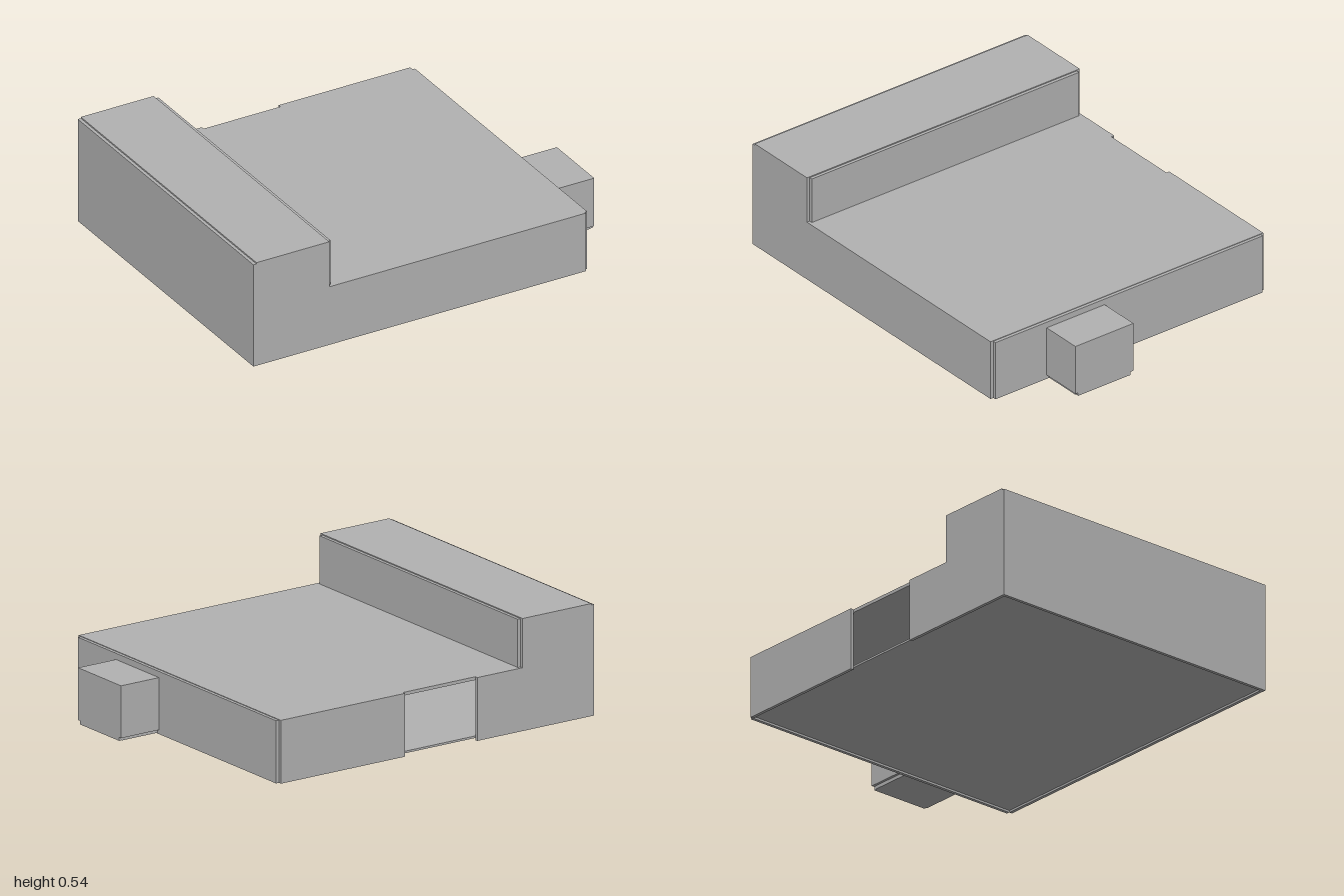
import * as THREE from 'three';

export function createModel() {
  const model = new THREE.Group();
  const grey = new THREE.MeshStandardMaterial({ color: 0xb2b2b2 });
  grey.name = 'plain grey';

  // Box given by its extents along each axis
  const box = (name, x0, x1, y0, y1, z0, z1, parent = model) => {
    const mesh = new THREE.Mesh(new THREE.BoxGeometry(x1 - x0, y1 - y0, z1 - z0), grey);
    mesh.position.set((x0 + x1) / 2, (y0 + y1) / 2, (z0 + z1) / 2);
    mesh.name = name;
    parent.add(mesh);
    return mesh;
  };

  const T = 0.016; // wall thickness
  const L = -1, R = 0.786, STEP = -0.58, LOW = 0.305, HIGH = 0.542, Z = 0.795;

  // Stepped wall outline, extruded to a thin panel; the doorway is cut full height
  const panel = (name, points, z0) => {
    const shape = new THREE.Shape(points.map(([x, y]) => new THREE.Vector2(x, y)));
    const geometry = new THREE.ExtrudeGeometry(shape, { depth: T, bevelEnabled: false });
    const mesh = new THREE.Mesh(geometry, grey);
    mesh.name = name;
    mesh.position.z = z0;
    model.add(mesh);
  };
  const stepped = (right) => [[L, 0], [right, 0], [right, LOW], [STEP - T, LOW],
    [STEP - T, HIGH], [L + T, HIGH], [L + T, HIGH - 0.007], [L, HIGH - 0.007]];
  panel('frontWall', stepped(R - T), Z - T);
  panel('backWallTallPart', stepped(-0.34), -Z);
  box('backWallLowPart', 0.07, R - T, 0, LOW, -Z, -Z + T);

  // Side walls and the riser between both roof levels
  const zi = Z - T;
  box('rightSideWall', L, L + T, 0, HIGH - 0.007, -zi, zi);
  box('leftSideWall', R - T, R, 0, LOW - 0.003, -zi, zi);
  box('roofRiser', STEP - T, STEP, LOW - T, HIGH - 0.005, -zi, zi);

  // Roofs and the slightly raised floor
  box('highRoof', L + T, STEP - T, HIGH - T, HIGH, -zi, zi);
  box('lowRoof', STEP - T, R - T, LOW - T, LOW, -zi, zi);
  box('floor', L + T, R - T, 0.01, 0.02, -zi, zi);

  // Small porch on the side
  const porch = new THREE.Group();
  porch.name = 'porch';
  model.add(porch);
  box('porchFloor', R, 1 - T, 0.003, 0.02, 0.155, 0.468, porch);
  box('porchBackWall', R, 1, 0.02, 0.272, 0.142, 0.142 + T, porch);
  box('porchFrontWall', R, 1, 0.02, 0.272, 0.48 - T, 0.48, porch);
  box('porchEndWall', 1 - T, 1, 0.003, 0.272, 0.142 + T, 0.48 - T, porch);
  box('porchRoof', R, 1 - T, 0.272 - T, 0.272, 0.142 + T, 0.48 - T, porch);

  // Furniture just inside the doorway
  box('lowCabinet', 0.23, 0.5, 0.02, 0.1, -0.44, -0.285);
  const chair = new THREE.Group();
  chair.name = 'chair';
  chair.position.set(-0.1, 0.02, -0.44);
  model.add(chair);
  for (const x of [-0.03, 0.03])
    for (const z of [-0.03, 0.03]) box('chairLeg', x - 0.004, x + 0.004, 0, 0.06, z - 0.004, z + 0.004, chair);
  box('chairSeat', -0.036, 0.036, 0.06, 0.068, -0.036, 0.036, chair);
  box('chairBack', 0.028, 0.036, 0.068, 0.13, -0.036, 0.036, chair);

  return model;
}
